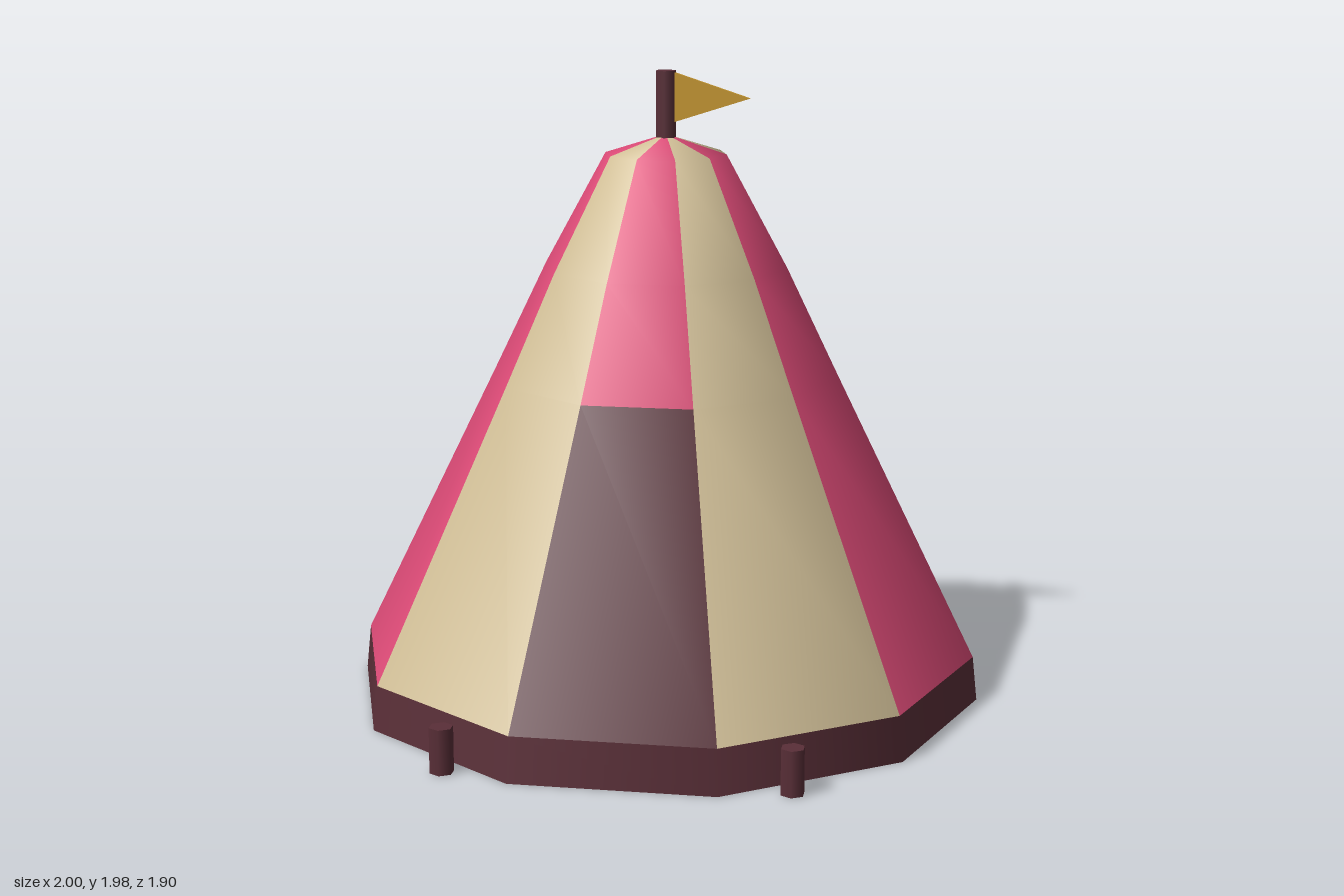
import * as THREE from 'three';

export function createModel() {
  const mat = (name, color) => {
    const m = new THREE.MeshStandardMaterial({ color });
    m.name = name;
    return m;
  };
  const pink = mat('pink canvas', 0xdb4a76);
  const cream = mat('cream canvas', 0xd0be96);
  const brown = mat('dark brown', 0x5a2f38);
  const gold = mat('gold', 0xc8982f);

  const model = new THREE.Group();
  model.name = 'tent';
  const add = (name, geometry, material, x = 0, y = 0, z = 0) => {
    const mesh = new THREE.Mesh(geometry, material);
    mesh.name = name;
    mesh.position.set(x, y, z);
    model.add(mesh);
    return mesh;
  };
  const lathe = (profile, segments, start, length) => new THREE.LatheGeometry(
    profile.map(([r, y]) => new THREE.Vector2(r, y)), segments, start, length);

  const SIDES = 10;
  const step = (Math.PI * 2) / SIDES;

  // Base band and floor
  add('baseBand', lathe([[1, 0], [0.985, 0.14]], SIDES, -step / 2, Math.PI * 2), brown);
  add('floor', lathe([[0, 0], [1, 0]], SIDES, -step / 2, Math.PI * 2), brown);

  // Canvas panels in alternating stripes; the front one has a doorway below
  const lower = [[0.985, 0.14], [0.547, 1.03]];
  const upper = [[0.547, 1.03], [0.382, 1.37], [0.19, 1.72], [0, 1.78]];
  for (let i = 0; i < SIDES; i++) {
    const start = (i - 0.5) * step;
    const color = i % 2 ? cream : pink;
    if (i === 0) {
      add('doorway', lathe(lower, 1, start, step), brown);
      add('panelAboveDoor', lathe(upper, 1, start, step), color);
    } else {
      add('panel' + i, lathe([...lower, ...upper.slice(1)], 1, start, step), color);
    }
  }

  // Pole at the peak
  add('pole', new THREE.CylinderGeometry(0.033, 0.033, 0.21, 6), brown, 0, 1.87, 0);

  // Pennant
  const pennant = new THREE.Shape();
  pennant.moveTo(0.02, 1.815);
  pennant.lineTo(0.262, 1.893);
  pennant.lineTo(0.02, 1.972);
  pennant.closePath();
  add('flag', new THREE.ExtrudeGeometry(pennant, { depth: 0.016, bevelEnabled: false }),
    gold, 0, 0, -0.008);

  // Pegs on either side of the doorway
  for (const side of [-1, 1]) {
    add(side > 0 ? 'leftPeg' : 'rightPeg',
      new THREE.CylinderGeometry(0.037, 0.037, 0.14, 6), brown, side * 0.516, 0.07, 0.89);
  }
  return model;
}
